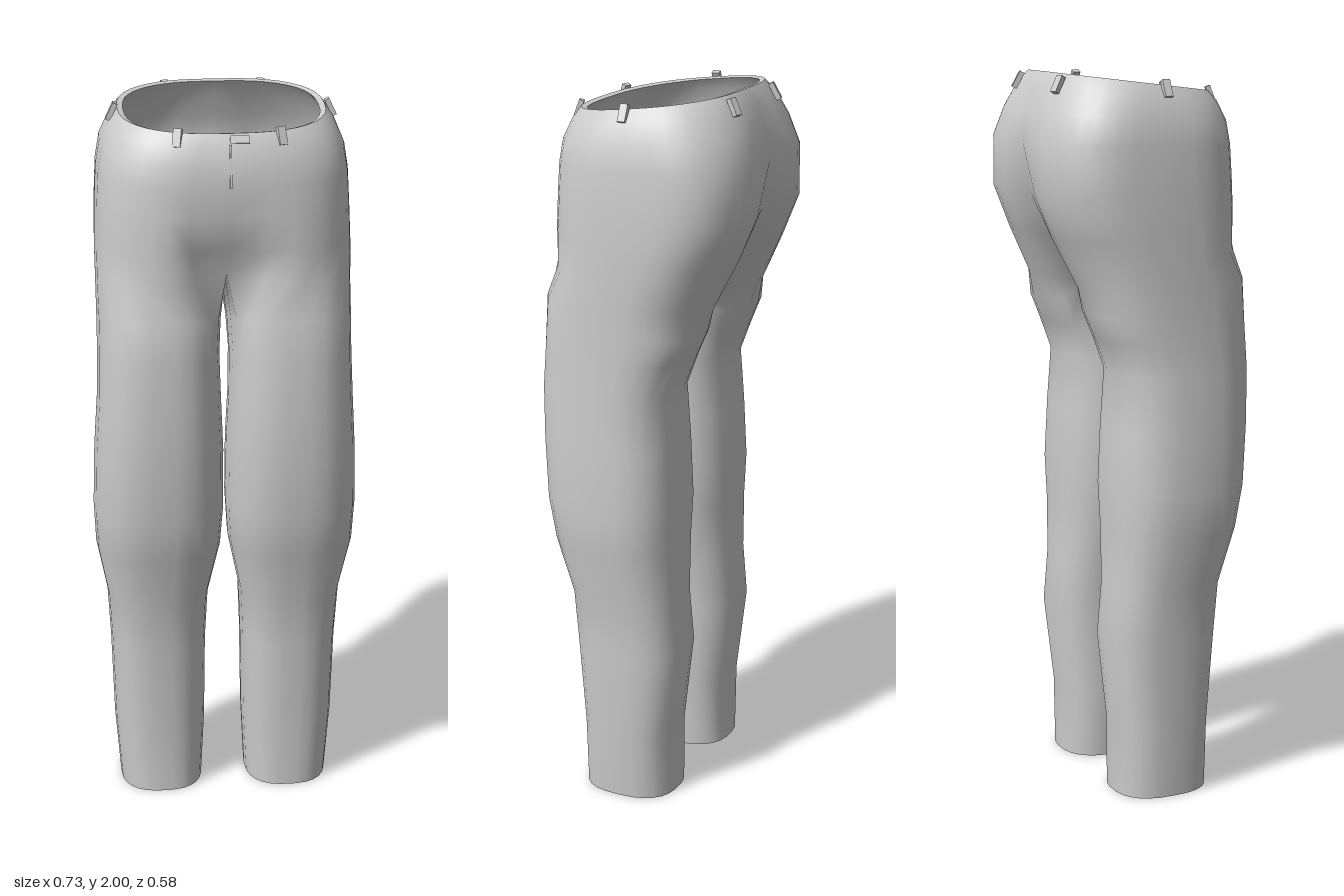
import * as THREE from 'three';
import { mergeVertices, mergeGeometries } from 'three/addons/utils/BufferGeometryUtils.js';

const OUT = 21, IN = 5, RING = OUT + IN; // points round the outside and the inner thigh
const THICK = 0.02;

// Leg sections: y front, y back, outer x, inner x, front z, back z
const LEG = [
  [0, 0, 0.30, 0.065, 0.18, -0.09],
  [0.2, 0.2, 0.315, 0.055, 0.18, -0.09],
  [0.45, 0.45, 0.322, 0.052, 0.20, -0.12],
  [0.6, 0.6, 0.33, 0.045, 0.21, -0.105],
  [0.76, 0.76, 0.36, 0.012, 0.255, -0.102],
  [0.88, 0.88, 0.365, 0.004, 0.278, -0.108],
  [1.05, 1.05, 0.36, 0.005, 0.288, -0.10],
  [1.2, 1.2, 0.35, 0.012, 0.292, -0.09],
  [1.34, 1.29, 0.346, 0.015, 0.285, -0.125],
  [1.45, 1.36, 0.345, 0.01, 0.28, -0.155],
];
// Hip sections: y front, y back, outer x, front z, back z, seam front z, seam back z, roundness
const HIP = [
  [1.55, 1.43, 0.345, 0.277, -0.19, 0.16, -0.08, 0.72],
  [1.64, 1.56, 0.345, 0.275, -0.245, 0.235, -0.19, 0.66],
  [1.73, 1.68, 0.342, 0.272, -0.293, 0.26, -0.25, 0.64],
  [1.81, 1.82, 0.336, 0.268, -0.293, 0.268, -0.272, 0.64],
  [1.87, 1.90, 0.325, 0.262, -0.265, 0.262, -0.25, 0.68],
  [1.92, 1.965, 0.30, 0.245, -0.235, 0.245, -0.228, 0.74],
  [1.945, 2.0, 0.277, 0.23, -0.21, 0.23, -0.205, 0.8],
];

const spow = (v, e) => Math.sign(v) * Math.pow(Math.abs(v), e);
const lerp = THREE.MathUtils.lerp;

function legRing([yf, yb, xo, xi, zf, zb]) {
  const pts = [], arc = THREE.MathUtils.degToRad(140);
  for (let i = 0; i < RING; i++) {
    const a = i < OUT ? lerp(-arc, arc, i / (OUT - 1))
      : lerp(arc, 2 * Math.PI - arc, (i - OUT + 1) / (IN + 1));
    const x = (xo + xi) / 2 + (xo - xi) / 2 * spow(Math.cos(a), 0.78);
    const t = 0.5 - 0.5 * spow(Math.sin(a), 0.78);
    pts.push([x, lerp(yb, yf, t), lerp(zb, zf, t)]);
  }
  return pts;
}

function hipRing([yf, yb, xo, zf, zb, sf, sb, e], crotch) {
  const pts = [];
  for (let i = 0; i < OUT; i++) {
    const a = lerp(-Math.PI / 2, Math.PI / 2, i / (OUT - 1));
    const end = i === 0 || i === OUT - 1;
    const x = end ? 0 : xo * spow(Math.cos(a), e);
    const t = 0.5 - 0.5 * spow(Math.sin(a), e);
    // the centre seam sinks between the two halves
    const dip = Math.exp(-((x / 0.085) ** 2));
    const z = lerp(zb, zf, t) + dip * (t > 0.5 ? sf - zf : sb - zb);
    pts.push([x, lerp(yb, yf, t), z]);
  }
  // crotch seam running from back to front
  for (let k = 1; crotch && k <= IN; k++) {
    const t = k / (IN + 1);
    pts.push([0, lerp(yb, yf, t), lerp(sb, sf, t)]);
  }
  return pts;
}

function clothShell() {
  const rings = [...LEG.map(legRing), ...HIP.map((h, i) => hipRing(h, i === 0))];
  const half = rings.flat(), n = half.length, pos = [], idx = [];
  for (const side of [1, -1]) for (const [x, y, z] of half) pos.push(side * x, y, z);
  const tri = (a, b, c) => idx.push(a, b, c, n + a, n + c, n + b);
  rings.slice(0, -1).forEach((ring, r) => {
    const lo = r * RING - Math.max(0, r - LEG.length - 1) * IN;
    const hi = lo + ring.length;
    const closed = r < LEG.length;
    for (let i = 0; i < (closed ? RING : OUT - 1); i++) {
      const j = closed ? (i + 1) % RING : i + 1;
      tri(lo + i, lo + j, hi + j);
      tri(lo + i, hi + j, hi + i);
    }
  });
  let g = new THREE.BufferGeometry();
  g.setAttribute('position', new THREE.Float32BufferAttribute(pos, 3));
  g.setIndex(idx);
  g = mergeVertices(g, 1e-4);
  g.computeVertexNormals();
  return g;
}

// Lining: the shell moved inwards and turned round
function liningOf(shell) {
  const g = shell.clone(), p = g.attributes.position, nor = g.attributes.normal;
  for (let i = 0; i < p.count; i++) {
    p.setXYZ(i, p.getX(i) - THICK * nor.getX(i),
      // keep the waist and hem edges level
      p.getY(i) < 0.01 ? 0 : p.getY(i) - THICK * nor.getY(i) * (p.getY(i) > 1.9 ? 0.3 : 1),
      p.getZ(i) - THICK * nor.getZ(i));
  }
  const a = g.index.array;
  for (let i = 0; i < a.length; i += 3) [a[i + 1], a[i + 2]] = [a[i + 2], a[i + 1]];
  g.computeVertexNormals();
  return g;
}

// Rim: joins shell and lining along every open edge
function rimOf(shell, lining) {
  const a = shell.index.array, edges = new Set(), pos = [];
  const each = (fn) => {
    for (let i = 0; i < a.length; i += 3)
      for (let k = 0; k < 3; k++) fn(a[i + k], a[i + (k + 1) % 3]);
  };
  each((u, v) => edges.add(u + '_' + v));
  const put = (g, i) => pos.push(...new THREE.Vector3().fromBufferAttribute(g.attributes.position, i));
  each((u, v) => {
    if (u === v || edges.has(v + '_' + u)) return;
    put(shell, v); put(shell, u); put(lining, u);
    put(shell, v); put(lining, u); put(lining, v);
  });
  const g = new THREE.BufferGeometry();
  g.setAttribute('position', new THREE.Float32BufferAttribute(pos, 3));
  g.computeVertexNormals();
  return g;
}

export function createModel() {
  const group = new THREE.Group();
  group.name = 'trousers';
  const cloth = new THREE.MeshStandardMaterial({ color: 0xcccccc, side: THREE.DoubleSide });
  const add = (name, geometry) => {
    const mesh = new THREE.Mesh(geometry, cloth);
    mesh.name = name;
    group.add(mesh);
    return mesh;
  };

  const shell = clothShell(), lining = liningOf(shell);
  add('outerCloth', shell);
  add('lining', lining);
  add('waistAndHemRims', rimOf(shell, lining));

  // Belt loops: x, y, z, turn about y, lean
  const loops = [[0.135, 1.935, 0.226, 0.35, -0.35], [0.292, 1.963, 0.015, Math.PI / 2, -0.45],
    [0.135, 1.972, -0.226, Math.PI - 0.3, -0.5]];
  for (const side of [1, -1]) {
    for (const [x, y, z, turn, lean] of loops) {
      const loop = add('beltLoop', new THREE.BoxGeometry(0.022, 0.048, 0.014));
      loop.position.set(side * x, y, z);
      loop.rotation.set(lean, side * turn, 0, 'YXZ');
    }
  }

  // Fly: a narrow seam with a small tab at the waist
  const seam = new THREE.BoxGeometry(0.006, 0.11, 0.006).rotateX(-0.2).translate(0, 1.865, 0.261);
  const tab = new THREE.BoxGeometry(0.05, 0.02, 0.008).rotateX(-0.5).translate(0.025, 1.93, 0.239);
  add('fly', mergeGeometries([seam, tab]));
  return group;
}
